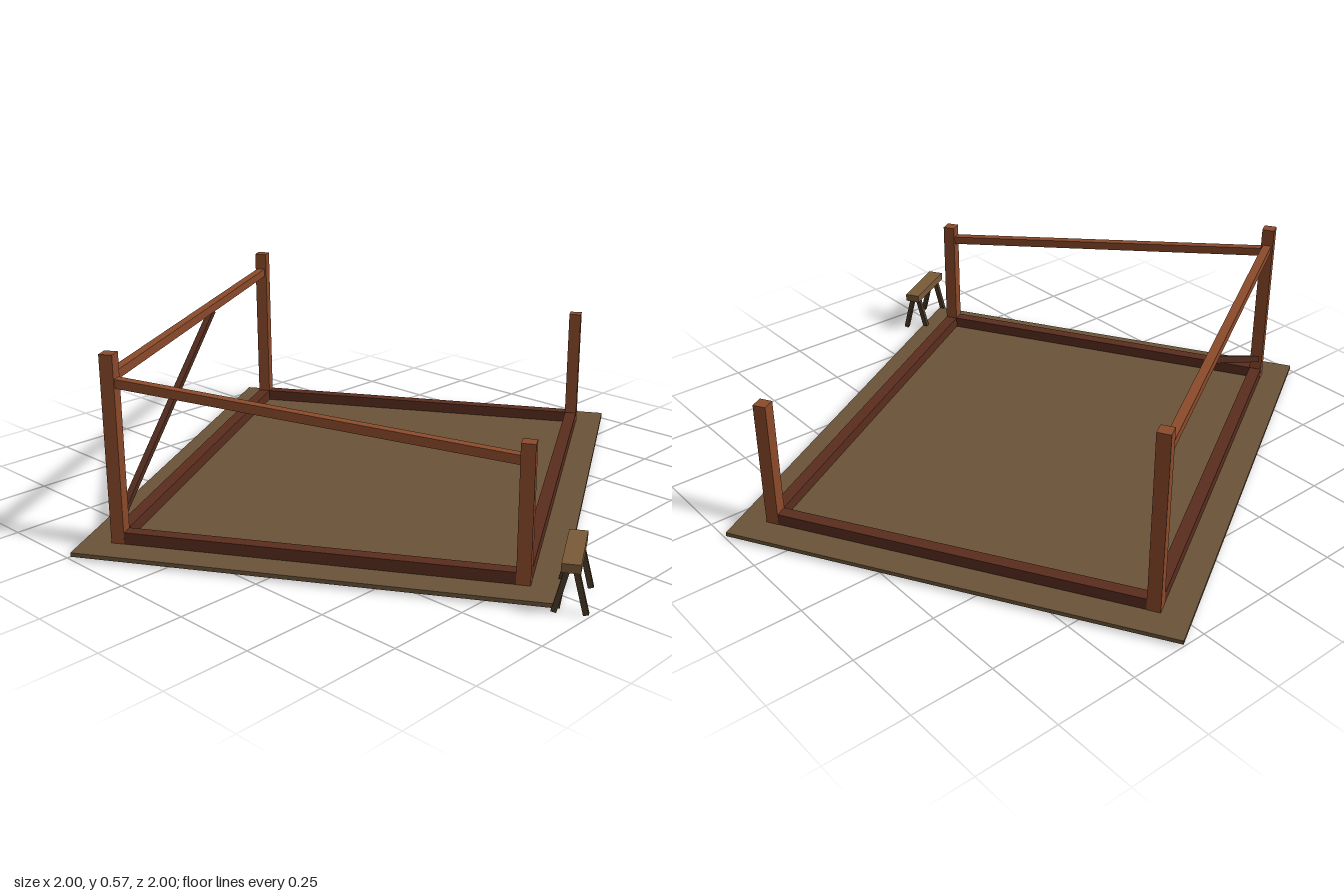
import * as THREE from 'three';

const material = (color) => new THREE.MeshStandardMaterial({ color });

export function createModel() {
  const model = new THREE.Group();
  model.name = 'timberFrame';

  const earth = material(0x6b5439);
  const timber = material(0x8b4a2b);
  const darkTimber = material(0x5a2d1e);
  const braceWood = material(0x4f2b1c);
  const plank = material(0x7a5a38);
  const legWood = material(0x4a3a28);

  // Whole site is turned 30 degrees about the vertical axis
  const site = new THREE.Group();
  site.name = 'site';
  site.position.z = -0.037;
  site.rotation.y = Math.PI / 6;
  model.add(site);

  const box = (parent, name, mat, size, pos) => {
    const mesh = new THREE.Mesh(new THREE.BoxGeometry(...size), mat);
    mesh.name = name;
    mesh.position.set(...pos);
    parent.add(mesh);
    return mesh;
  };

  // Square bar running from point a to point b
  const bar = (parent, name, mat, a, b, width, height = width) => {
    const from = new THREE.Vector3(...a);
    const to = new THREE.Vector3(...b);
    const mesh = box(parent, name, mat, [width, height, from.distanceTo(to)], [0, 0, 0]);
    const dir = to.clone().sub(from).normalize();
    const side = new THREE.Vector3(0, 1, 0).cross(dir).normalize();
    const up = dir.clone().cross(side);
    mesh.quaternion.setFromRotationMatrix(new THREE.Matrix4().makeBasis(side, up, dir));
    mesh.position.copy(from).add(to).multiplyScalar(0.5);
    return mesh;
  };

  const hx = 0.66, hz = 0.568;

  // Ground slab
  box(site, 'groundSlab', earth, [1.53, 0.012, 1.342], [0, 0.014, 0]);

  // Sill beams around the footprint
  for (const s of [-1, 1]) {
    box(site, s < 0 ? 'backSill' : 'frontSill', darkTimber, [2 * hx, 0.038, 0.038], [0, 0.036, s * hz]);
    box(site, s < 0 ? 'rightSill' : 'leftSill', darkTimber, [0.037, 0.037, 2 * hz], [s * hx, 0.036, 0]);
  }

  // Corner posts, tall at the back and short at the front
  for (const x of [-hx, hx]) {
    for (const [name, z, top] of [['backPost', -hz, 0.57], ['frontPost', hz, 0.413]]) {
      box(site, name, timber, [0.039, top - 0.015, 0.039], [x, (top + 0.015) / 2, z]);
    }
  }

  // Back top rail, sloping side rail and diagonal brace
  bar(site, 'backRail', timber, [-hx, 0.503, -hz], [hx, 0.503, -hz], 0.027, 0.026);
  bar(site, 'slopingRail', timber, [-hx, 0.49, -hz], [-hx, 0.363, hz], 0.027, 0.026);
  bar(site, 'brace', braceWood, [-hx + 0.01, 0.088, -hz], [0.13, 0.49, -hz], 0.019);

  // Sawhorse beside the front corner
  const sawhorse = new THREE.Group();
  sawhorse.name = 'sawhorse';
  sawhorse.position.set(-0.249, 0, 0.912);
  sawhorse.rotation.y = Math.PI / 6;
  model.add(sawhorse);
  box(sawhorse, 'sawhorseTop', plank, [0.214, 0.025, 0.05], [0, 0.137, 0]);
  for (const x of [-0.078, 0.078]) {
    for (const s of [-1, 1]) {
      bar(sawhorse, 'sawhorseLeg', legWood, [x, 0.002, s * 0.041], [x, 0.13, s * 0.009], 0.015);
    }
  }

  return model;
}
